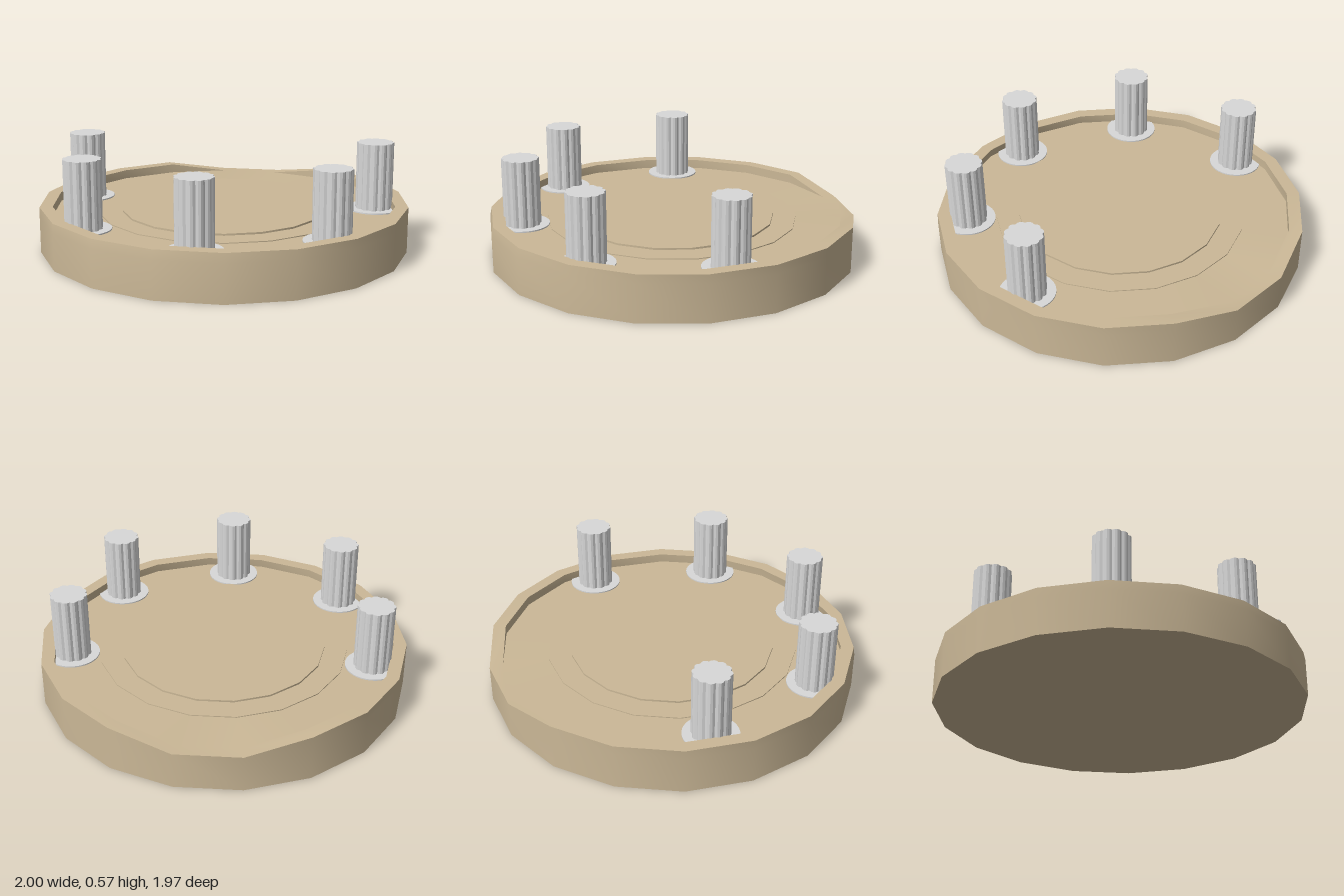
import * as THREE from 'three';
import { toCreasedNormals } from 'three/addons/utils/BufferGeometryUtils.js';

const SIDES = 18;
const START = Math.PI / 18;
const CREASE = THREE.MathUtils.degToRad(25);

export function createModel() {
  const group = new THREE.Group();
  const tan = new THREE.MeshStandardMaterial({ color: 0xcbb897 });
  tan.name = 'tan';
  const grey = new THREE.MeshStandardMaterial({ color: 0xd8d8d8 });
  grey.name = 'light grey';

  function add(name, geometry, material, x = 0, y = 0, z = 0) {
    const mesh = new THREE.Mesh(geometry, material);
    mesh.name = name;
    mesh.position.set(x, y, z);
    group.add(mesh);
  }

  // Shallow tray: solid base with a raised rim that dips down at the back
  const profile = [[0, 0], [1, 0], [1, 0.2], [1, 0.25], [0.93, 0.25], [0.93, 0.2], [0, 0.2]]
    .map(([r, y]) => new THREE.Vector2(r, y));
  const tray = new THREE.LatheGeometry(profile, SIDES, START);
  const p = tray.attributes.position;
  for (let i = 0; i < p.count; i++) {
    if (p.getY(i) < 0.24) continue;
    if (p.getZ(i) < -0.9) p.setY(i, 0.2);
    else if (p.getZ(i) > 0) p.setZ(i, p.getZ(i) * 0.99);
  }
  add('tray', toCreasedNormals(tray, CREASE), tan);

  // Two low concentric steps on the floor
  for (const [name, r, top] of [['outerStep', 0.68, 0.205], ['centreStep', 0.555, 0.215]]) {
    const h = top - 0.19;
    const step = new THREE.CylinderGeometry(r, r, h, SIDES, 1, false, START);
    add(name, step, tan, 0, 0.19 + h / 2, 0);
  }

  // Fluted post outline: scalloped circle
  const outline = [];
  const FLUTES = 12, N = FLUTES * 4;
  for (let i = 0; i < N; i++) {
    const a = (i / N) * Math.PI * 2;
    const r = 0.09 + 0.01 * Math.abs(Math.cos(a * FLUTES / 2));
    outline.push(new THREE.Vector2(r * Math.cos(a), r * Math.sin(a)));
  }
  const post = new THREE.ExtrudeGeometry(new THREE.Shape(outline), { depth: 0.37, bevelEnabled: false });
  post.rotateX(-Math.PI / 2);
  const pad = new THREE.CylinderGeometry(0.145, 0.145, 0.008, 40);

  // Five posts around the front, each on a round pad
  for (const [x, z] of [[0, 0.815], [0.635, 0.535], [-0.635, 0.535], [0.81, -0.145], [-0.81, -0.145]]) {
    add('post', post, grey, x, 0.2, z);
    add('postPad', pad, grey, x, 0.203, z);
  }
  return group;
}
